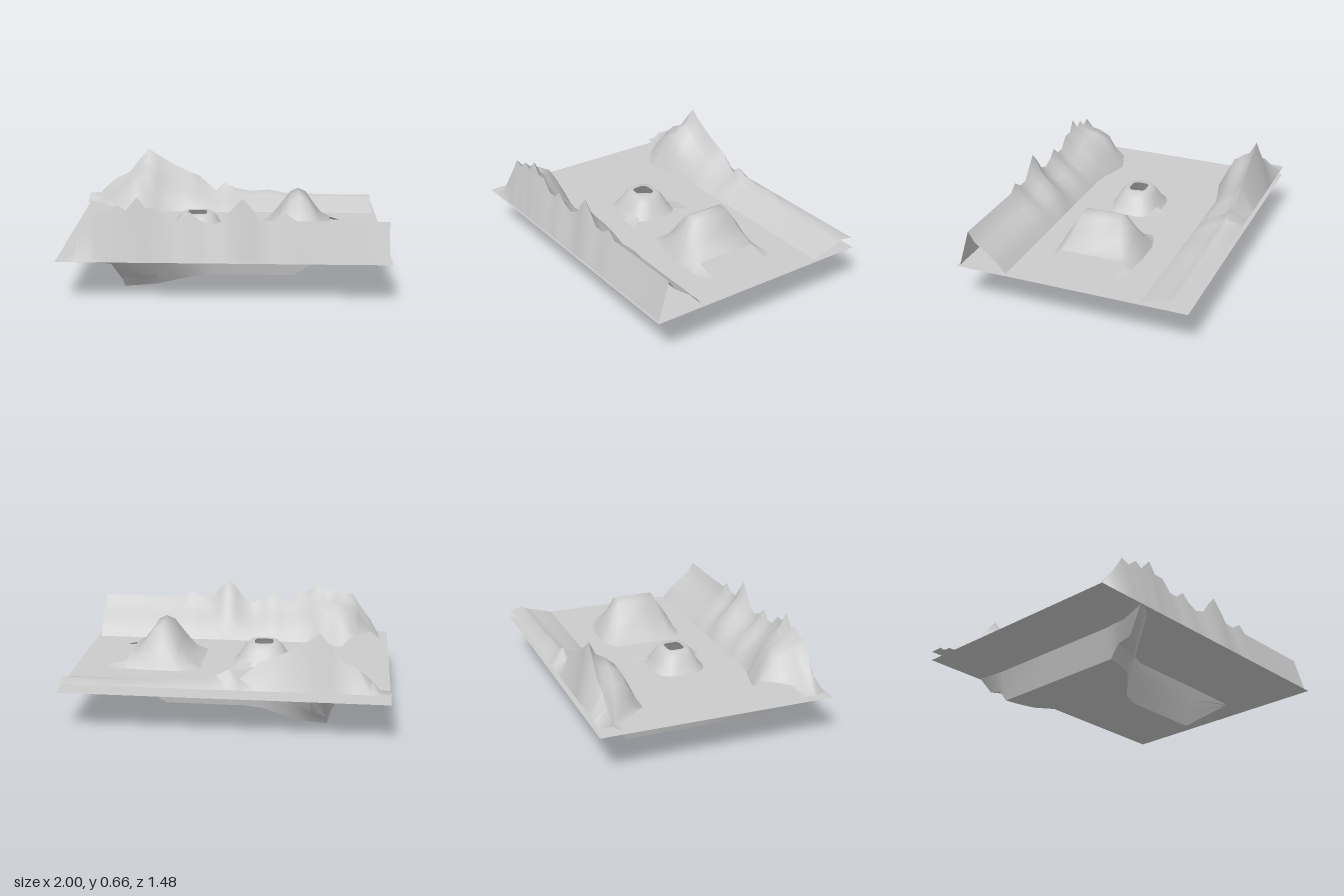
import * as THREE from 'three';
import { toCreasedNormals } from 'three/addons/utils/BufferGeometryUtils.js';

const GROUND = 0.26;
const FOOT = GROUND + 0.002;
const material = new THREE.MeshStandardMaterial({ color: 0xcccccc, side: THREE.DoubleSide });

// Skins rows of [x, y, z] points into one sheet, smooth except at sharp folds
function sheet(name, rows, crease = 1.4) {
  const n = rows[0].length;
  const index = [];
  for (let i = 0; i < rows.length - 1; i++) {
    for (let j = 0; j < n - 1; j++) {
      const a = i * n + j, b = a + n;
      index.push(a, b, a + 1, b, b + 1, a + 1);
    }
  }
  const geometry = new THREE.BufferGeometry();
  geometry.setAttribute('position', new THREE.Float32BufferAttribute(rows.flat(2), 3));
  geometry.setIndex(index);
  const mesh = new THREE.Mesh(toCreasedNormals(geometry, crease), material);
  mesh.name = name;
  return mesh;
}

// Mountain chain: crest is [x, height]; side +1 is front, -1 is back.
// The slope bulges inward near the -x end, where its inner edge lifts off the ground.
function ridge(name, crest, side, outerY, liftY) {
  const rows = crest.map(([x, h]) => {
    const flare = Math.max(0, 1 - Math.abs(x + 0.68) / 0.25);
    const rise = h - GROUND;
    const foot = (side > 0 ? 0.42 : 0.44) - 0.07 * flare;
    const inner = x < -0.76 ? Math.min(0.57, 0.41 + (-0.76 - x) * 0.9) : foot;
    const innerY = x < -0.74 ? Math.min(liftY, h) : FOOT;
    const outer = side > 0 ? 0.725 : 0.74;
    const slope = [
      [0.83, 0.74 + 0.1 * flare], [0.65, 0.6 + 0.25 * flare],
      [0.4, 0.42 + 0.33 * flare], [0.2, 0.25 + 0.15 * flare],
    ].map(([t, k]) => [inner + (0.655 - inner) * t, Math.max(innerY, GROUND + rise * k)]);
    const section = [[outer, outerY], [0.655, Math.max(h, outerY)], ...slope, [inner, innerY]]
      .map(([z, y]) => [x, y, z * side]);
    return side > 0 ? section : section.reverse();
  });
  return sheet(name, rows);
}

// Hollow hill with a broad flat crest and an open raised mouth
function hill() {
  // x, crest height, half width of crest, half width of base
  const stations = [
    [0.2, 0.262, 0.2, 0.22], [0.27, 0.3, 0.17, 0.25], [0.34, 0.39, 0.15, 0.27],
    [0.41, 0.49, 0.13, 0.27], [0.46, 0.515, 0.12, 0.27], [0.51, 0.49, 0.13, 0.27],
    [0.57, 0.4, 0.15, 0.265], [0.62, 0.335, 0.18, 0.26], [0.67, 0.312, 0.18, 0.26],
  ];
  return sheet('hill', stations.map(([x, h, top, base]) => {
    const half = [[base, FOOT], [base * 0.55 + top * 0.45, GROUND + (h - GROUND) * 0.5], [top, h]];
    return [...half, [0, h], ...half.slice().reverse().map(([z, y]) => [-z, y])]
      .map(([z, y]) => [x, y, z]);
  }));
}

// Crater: rings from the small square vent down to the foot
function crater() {
  // radius, height, squareness
  const rings = [
    [0.06, 0.385, 4], [0.09, 0.385, 3], [0.125, 0.355, 2.5], [0.155, 0.3, 3], [0.19, FOOT, 3],
  ];
  return sheet('crater', rings.map(([r, y, p]) =>
    Array.from({ length: 25 }, (_, k) => {
      const a = (k / 24) * Math.PI * 2;
      const c = Math.cos(a), s = Math.sin(a);
      const q = r / Math.pow(Math.abs(c) ** p + Math.abs(s) ** p, 1 / p);
      return [-0.19 + q * c, y, 0.03 - q * s * 0.9];
    })));
}

// Underside: a narrow keel that widens into stepped cross arms at -x
function underside() {
  // x, bottom y, half width of bottom, then two steps and the edge as z, y
  const stations = [
    [-0.95, 0.256, 0.45, 0.51, 0.256, 0.6, 0.257, 0.73],
    [-0.85, 0.24, 0.45, 0.51, 0.242, 0.6, 0.245, 0.73],
    [-0.67, 0.2, 0.45, 0.51, 0.205, 0.6, 0.21, 0.73],
    [-0.62, 0.02, 0.45, 0.51, 0.1, 0.6, 0.12, 0.72],
    [-0.52, 0.02, 0.43, 0.49, 0.1, 0.56, 0.13, 0.64],
    [-0.42, 0.02, 0.4, 0.44, 0.09, 0.48, 0.16, 0.52],
    [-0.31, 0.015, 0.3, 0.33, 0.09, 0.36, 0.18, 0.38],
    [-0.2, 0.004, 0.19, 0.21, 0.09, 0.235, 0.18, 0.25],
    [-0.08, 0, 0.145, 0.165, 0.09, 0.185, 0.18, 0.2],
    [0.43, 0, 0.145, 0.165, 0.09, 0.185, 0.18, 0.2],
    [0.81, 0.25, 0.18, 0.187, 0.253, 0.194, 0.257, 0.2],
  ];
  return sheet('underside', stations.map(([x, y, b, z1, y1, z2, y2, w]) => {
    const half = [[w, GROUND], [z2, y2], [z1, y1], [b, y]];
    return [...half.map(([z, v]) => [-z, v]), [0, y], ...half.reverse()]
      .map(([z, v]) => [x, v, z]);
  }), 0.7);
}

export function createModel() {
  const group = new THREE.Group();
  group.name = 'terrain';

  // Flat ground
  const ground = new THREE.Mesh(new THREE.PlaneGeometry(2, 1.475), material);
  ground.name = 'ground';
  ground.rotation.x = -Math.PI / 2;
  ground.position.y = GROUND;
  group.add(ground);

  // Mountain chains along front and back
  group.add(ridge('frontRidge', [
    [-0.94, 0.265], [-0.88, 0.37], [-0.8, 0.48], [-0.75, 0.56], [-0.69, 0.54], [-0.63, 0.59],
    [-0.58, 0.56], [-0.51, 0.64], [-0.46, 0.57], [-0.39, 0.57], [-0.32, 0.5], [-0.26, 0.5],
    [-0.2, 0.55], [-0.14, 0.5], [-0.07, 0.475], [0, 0.5], [0.05, 0.57], [0.11, 0.635],
    [0.17, 0.57], [0.23, 0.5], [0.3, 0.5], [0.37, 0.545], [0.43, 0.5], [0.98, 0.5],
  ], 1, GROUND, 0.32));
  group.add(ridge('backRidge', [
    [-1, 0.32], [-0.93, 0.32], [-0.88, 0.38], [-0.8, 0.45], [-0.71, 0.49], [-0.64, 0.58],
    [-0.57, 0.66], [-0.5, 0.61], [-0.4, 0.55], [-0.3, 0.5], [-0.22, 0.47], [-0.1, 0.36],
    [-0.04, 0.42], [0.04, 0.38], [0.15, 0.36], [0.27, 0.37], [0.4, 0.345], [0.7, 0.34], [0.98, 0.335],
  ], -1, 0.318, 0.29));

  group.add(hill(), crater(), underside());

  // Small flaps at the feet of the hill's mouth and of the crater
  for (const s of [-1, 1]) {
    group.add(sheet('hillFlap', [
      [[0.67, 0.3, s * 0.2], [0.67, 0.264, s * 0.265]],
      [[0.74, 0.28, s * 0.2], [0.74, 0.264, s * 0.265]],
      [[0.8, 0.27, s * 0.2], [0.745, 0.264, s * 0.265]],
    ]));
    group.add(sheet('craterFlap', [
      [[-0.13, 0.29, 0.03 + s * 0.15], [-0.11, FOOT, 0.02 + s * 0.22]],
      [[-0.04, 0.28, 0.03 + s * 0.13], [0.01, FOOT, 0.02 + s * 0.22]],
    ]));
  }
  return group;
}
